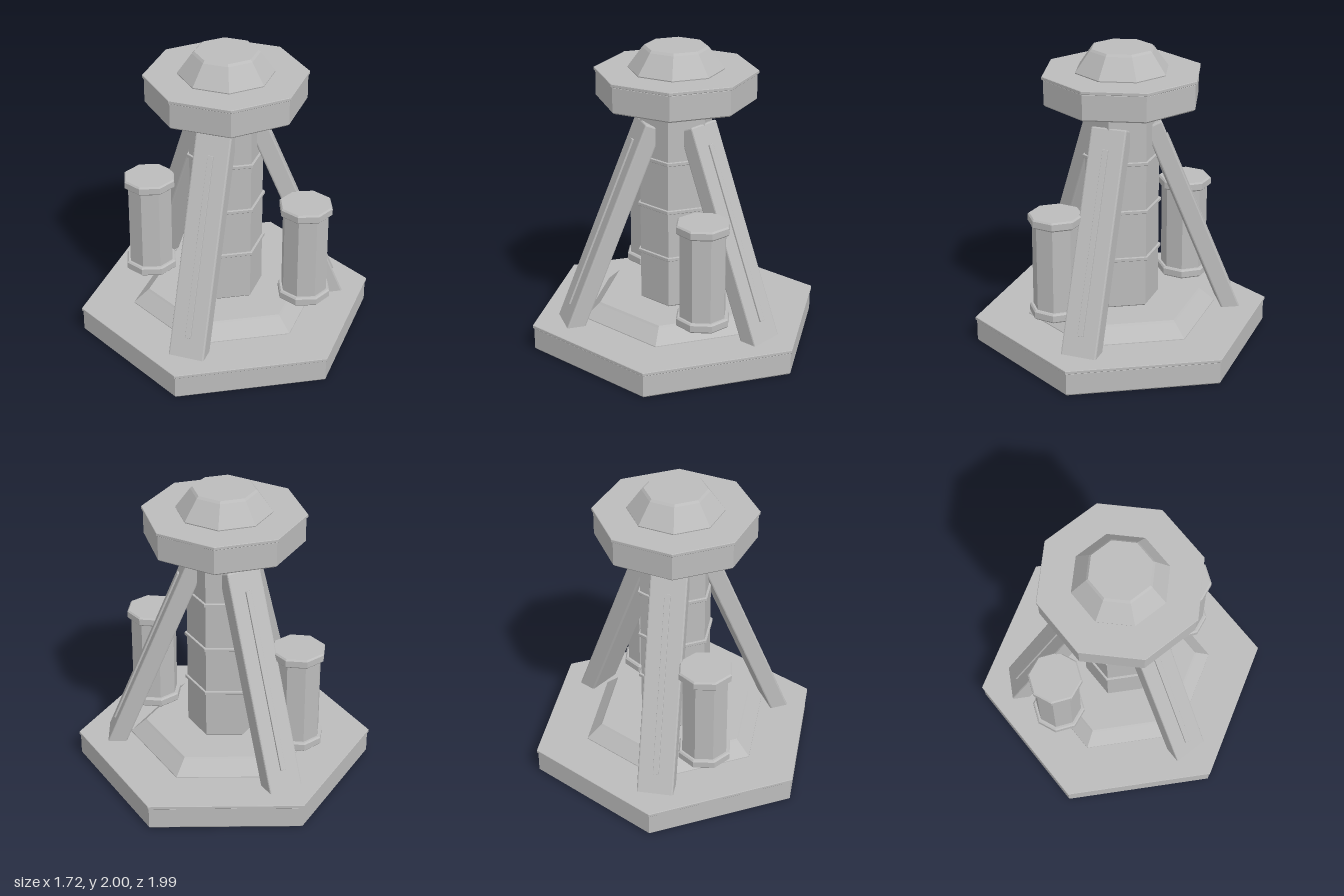
import * as THREE from 'three';
import { RoundedBoxGeometry } from 'three/addons/geometries/RoundedBoxGeometry.js';

const grey = new THREE.MeshStandardMaterial({ color: 0xbcbcbc, flatShading: true });
grey.name = 'light grey';

// Prism or frustum with a small bevel on its top and bottom edges
function prism(name, sides, rBottom, rTop, y0, y1, bevel = 0.01, turn = 0) {
  const slope = (rTop - rBottom) / (y1 - y0) * bevel;
  const profile = [
    [0, y0], [rBottom - bevel, y0], [rBottom + slope, y0 + bevel],
    [rTop - slope, y1 - bevel], [rTop - slope - bevel, y1], [0, y1],
  ].map(([r, y]) => new THREE.Vector2(r, y));
  const mesh = new THREE.Mesh(new THREE.LatheGeometry(profile, sides), grey);
  mesh.name = name;
  mesh.rotation.y = turn;
  return mesh;
}

function box(name, w, h, d, bevel) {
  const mesh = new THREE.Mesh(new RoundedBoxGeometry(w, h, d, 1, bevel), grey);
  mesh.name = name;
  return mesh;
}

// Leaning brace with a raised strip on its outer face
function makeLeg(angle) {
  const leg = new THREE.Group();
  leg.name = 'leg';
  leg.rotation.y = angle;
  const lean = new THREE.Group();
  lean.name = 'leaningBrace';
  lean.position.set(0, 0.793, 0.475);
  lean.rotation.x = -0.386;
  const strip = box('legStrip', 0.038, 1.19, 0.018, 0.002);
  strip.position.set(0, 0.038, 0.062);
  lean.add(box('legBeam', 0.24, 1.543, 0.118, 0.01), strip);
  leg.add(lean);
  return leg;
}

// Eight-sided tank with a collar at each end
function makeTank(name, x) {
  const tank = new THREE.Group();
  tank.name = name;
  tank.position.x = x;
  tank.add(
    prism('tankBody', 8, 0.155, 0.155, 0.32, 0.98),
    prism('tankBottomCollar', 8, 0.18, 0.18, 0.305, 0.367),
    prism('tankTopCollar', 8, 0.18, 0.18, 0.938, 1.0),
  );
  return tank;
}

export function createModel() {
  const model = new THREE.Group();
  model.name = 'tower';

  // Six-sided base, rim and raised deck
  model.add(
    prism('base', 6, 0.985, 0.985, 0, 0.16),
    prism('baseRim', 6, 0.995, 0.995, 0.155, 0.177, 0.003),
    prism('deck', 6, 0.65, 0.53, 0.17, 0.278, 0.012, Math.PI),
  );

  // Column with three bands
  model.add(prism('column', 6, 0.245, 0.245, 0.276, 1.67));
  for (const y of [0.62, 0.95, 1.28]) {
    model.add(prism('columnBand', 6, 0.261, 0.261, y - 0.012, y + 0.012, 0.003));
  }

  // Eight-sided head, rim and cap
  const turn = Math.PI / 8;
  model.add(
    prism('head', 8, 0.52, 0.52, 1.65, 1.83, 0.01, turn),
    prism('headRim', 8, 0.531, 0.531, 1.825, 1.847, 0.003, turn),
    prism('headCap', 8, 0.322, 0.206, 1.84, 2, 0.014, turn),
  );

  // Three legs and a tank on each side
  for (let i = 0; i < 3; i++) model.add(makeLeg(i * Math.PI * 2 / 3));
  model.add(makeTank('leftTank', 0.548), makeTank('rightTank', -0.548));
  return model;
}
